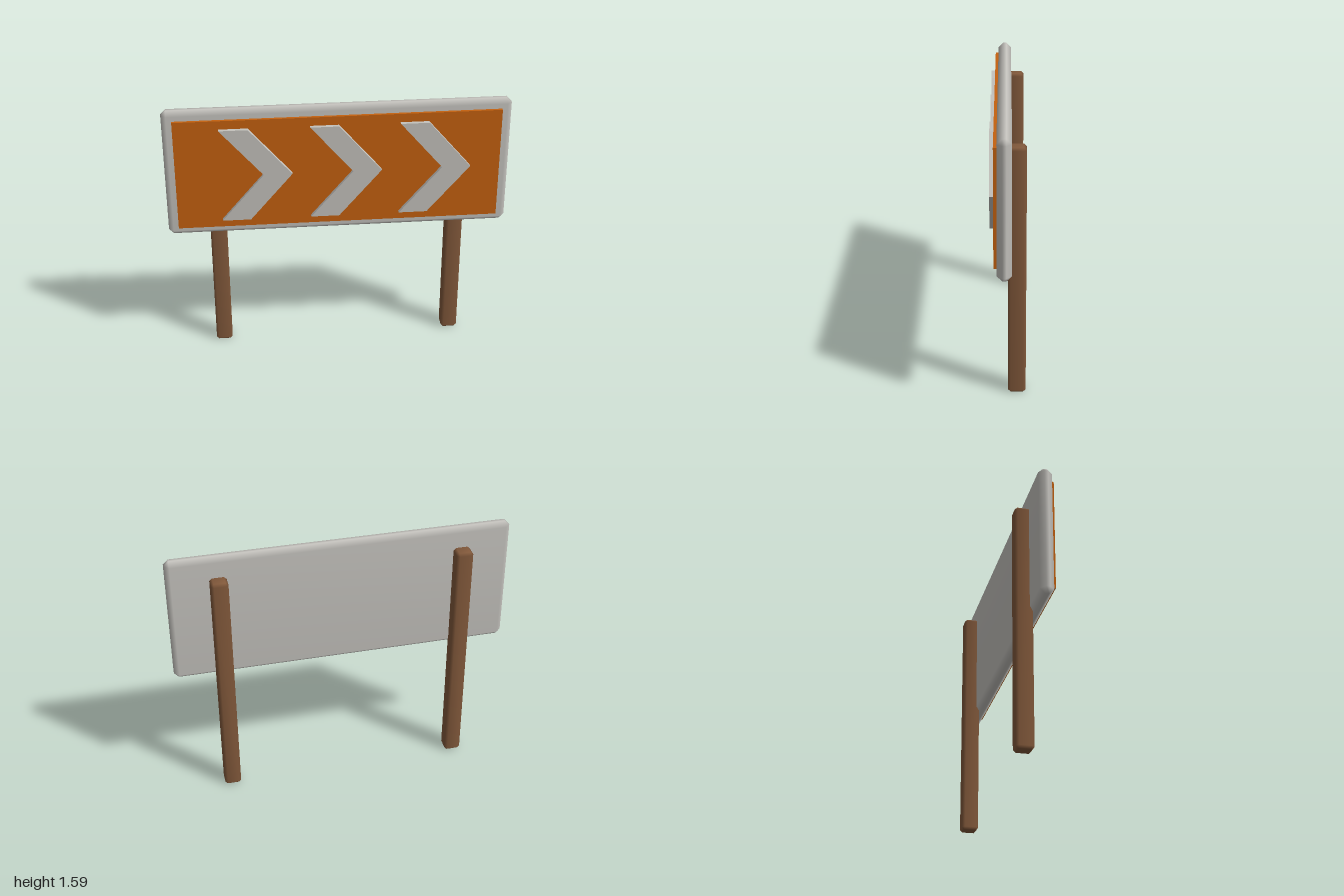
import * as THREE from 'three';
import { mergeVertices } from 'three/addons/utils/BufferGeometryUtils.js';
import { ConvexGeometry } from 'three/addons/geometries/ConvexGeometry.js';

// Box with single-cut chamfers on every edge and smooth shading
function chamferedBox(w, h, d, c) {
  const points = [];
  for (const x of [-1, 1]) for (const y of [-1, 1]) for (const z of [-1, 1]) {
    for (let axis = 0; axis < 3; axis++) {
      const inset = [c, c, c];
      inset[axis] = 0;
      points.push(new THREE.Vector3(
        x * (w / 2 - inset[0]), y * (h / 2 - inset[1]), z * (d / 2 - inset[2])));
    }
  }
  let geometry = new ConvexGeometry(points);
  geometry.deleteAttribute('normal');
  geometry = mergeVertices(geometry, 1e-4);
  geometry.computeVertexNormals();
  return geometry;
}

export function createModel() {
  const group = new THREE.Group();
  const paleGrey = new THREE.MeshStandardMaterial({ color: 0xc4c2bd });
  paleGrey.name = 'pale grey';
  const orange = new THREE.MeshStandardMaterial({ color: 0xc4610f });
  orange.name = 'orange';
  const brown = new THREE.MeshStandardMaterial({ color: 0x82593b });
  brown.name = 'wood brown';

  function add(name, geometry, material, x, y, z) {
    const mesh = new THREE.Mesh(geometry, material);
    mesh.name = name;
    mesh.position.set(x, y, z);
    group.add(mesh);
  }

  // Backing board and coloured face
  add('board', chamferedBox(2, 0.787, 0.08, 0.029), paleGrey, 0, 1.192, 0.018);
  add('facePanel', new THREE.BoxGeometry(1.88, 0.674, 0.025), orange, 0, 1.192, 0.0635);

  // Posts behind the board
  const post = chamferedBox(0.098, 1.46, 0.1, 0.015);
  add('leftPost', post, brown, 0.709, 0.73, -0.051);
  add('rightPost', post, brown, -0.709, 0.73, -0.051);

  // Three raised arrows pointing to the model's left
  const outline = new THREE.Shape([
    [0, -0.286], [0.165, -0.286], [0.412, 0], [0.165, 0.286], [0, 0.286], [0.247, 0],
  ].map(([x, y]) => new THREE.Vector2(x, y)));
  const chevron = new THREE.ExtrudeGeometry(outline, { depth: 0.03, bevelEnabled: false });
  for (let i = 0; i < 3; i++) {
    add(`chevron${i + 1}`, chevron, paleGrey, -0.682 + i * 0.517, 1.192, 0.07);
  }

  return group;
}
